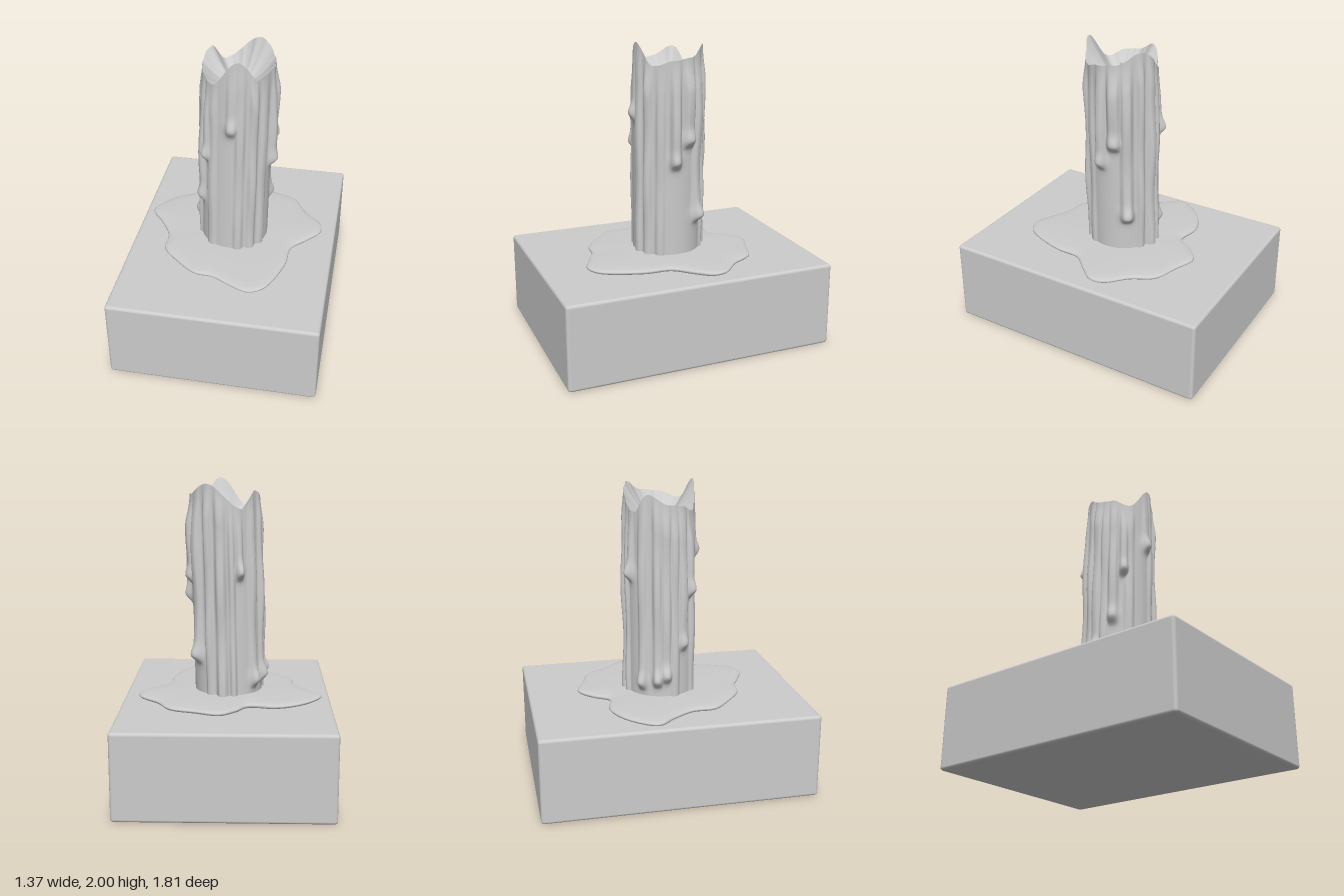
import * as THREE from 'three';
import { RoundedBoxGeometry } from 'three/addons/geometries/RoundedBoxGeometry.js';

const N = 240; // segments around the candle
const material = new THREE.MeshStandardMaterial({ color: 0xcccccc, roughness: 0.7 });
const RAD = Math.PI / 180;
const smooth = THREE.MathUtils.smoothstep;

// Closed surface from stacked rings; point(j, i) returns [x, y, z]
function ringSurface(rows, cols, point) {
  const positions = [], index = [];
  for (let j = 0; j < rows; j++) {
    for (let i = 0; i < cols; i++) {
      positions.push(...point(j, i));
      if (j === rows - 1) continue;
      const a = j * cols + i, b = j * cols + (i + 1) % cols;
      index.push(a, b, b + cols, a, b + cols, a + cols);
    }
  }
  const geometry = new THREE.BufferGeometry();
  geometry.setAttribute('position', new THREE.Float32BufferAttribute(positions, 3));
  geometry.setIndex(index);
  geometry.computeVertexNormals();
  return geometry;
}

function addMesh(group, name, geometry) {
  const mesh = new THREE.Mesh(geometry, material);
  mesh.name = name;
  group.add(mesh);
  return mesh;
}

// Peaks and dips of the melted rim: [degrees from front towards +x, height]
const RIM = [[8, 2.0], [46, 1.86], [80, 1.895], [108, 1.91], [150, 1.98], [212, 1.82],
  [239, 1.935], [275, 1.87], [295, 1.86], [322, 1.82], [368, 2.0]];

function rimHeight(deg) {
  const d = deg < 8 ? deg + 360 : deg;
  const k = RIM.findIndex(([a], n) => n > 0 && d <= a);
  const [a0, h0] = RIM[k - 1], [a1, h1] = RIM[k];
  const t = (d - a0) / (a1 - a0);
  return h0 + (h1 - h0) * (1 - Math.cos(Math.PI * t)) / 2;
}

// Wax runs: [degrees, lower end, angular half width, thickness, blob size]
const DRIPS = [
  [0, 1.48, 8, 0.014, 0.026], [315, 1.25, 7, 0.028, 0.026], [298, 0.9, 8, 0.03, 0.022],
  [268, 0.69, 8, 0.025, 0.03], [83, 1.18, 8, 0.034, 0.022], [106, 1.32, 10, 0.036, 0.024],
  [126, 0.8, 9, 0.032, 0.026], [203, 1.36, 6, 0.025, 0.026], [228, 0.64, 7, 0.024, 0.024],
  [254, 0.66, 7, 0.028, 0.022],
  // runs that reach the foot
  [14, 0, 7, 0.016, 0], [36, 0, 7, 0.026, 0], [58, 0, 7, 0.014, 0], [150, 0, 6, 0.022, 0],
  [172, 0, 8, 0.03, 0], [190, 0, 5, 0.02, 0], [283, 0, 7, 0.02, 0], [325, 0, 8, 0.018, 0],
];

function candleRadius(deg, y, top) {
  let bump = 0;
  const fade = 0.25 + 0.75 * smooth(top - y, 0, 0.22);
  for (const [a, end, width, thick, blob] of DRIPS) {
    const d = ((deg - a + 540) % 360) - 180;
    if (Math.abs(d) > 30) continue;
    const wave = 1 + 0.25 * Math.sin(y * 9 + a);
    const run = thick * wave * smooth(y, end - 0.01, end + 0.06) * Math.exp(-((d / width) ** 4));
    const bulge = blob * Math.exp(-(((y - end - 0.06) / 0.055) ** 2) - (d / (width * 1.35)) ** 2);
    bump = Math.max(bump, run + bulge);
  }
  return 0.225 + bump * fade;
}

// Candle axis leans slightly
const axisX = (y) => -0.008 + 0.028 * (y - 0.58) / 1.4;

function candleWall() {
  const rows = 140;
  return ringSurface(rows, N, (j, i) => {
    const deg = i * 360 / N, top = rimHeight(deg);
    const y = 0.58 + (top - 0.58) * j / (rows - 1);
    const r = candleRadius(deg, y, top);
    return [axisX(y) + r * Math.sin(deg * RAD), y, -0.008 + r * Math.cos(deg * RAD)];
  });
}

// Melted hollow from the rim down to the wick
function candleHollow() {
  const rows = 20, floor = 1.73;
  return ringSurface(rows, N, (j, i) => {
    const deg = i * 360 / N, top = rimHeight(deg), s = 1 - j / (rows - 1);
    const y = floor + (top - floor) * s ** 1.8;
    const r = candleRadius(deg, top, top) * s;
    return [axisX(top) + r * Math.sin(deg * RAD), y, -0.008 + r * Math.cos(deg * RAD)];
  });
}

// Outline of the spilled wax, [x, z]
const SPILL = [[0.04, -0.57], [-0.07, -0.485], [-0.145, -0.39], [-0.32, -0.41], [-0.455, -0.36],
  [-0.575, -0.255], [-0.63, -0.145], [-0.54, -0.025], [-0.455, 0.12], [-0.445, 0.265],
  [-0.335, 0.385], [-0.19, 0.49], [-0.07, 0.505], [0.05, 0.565], [0.18, 0.615], [0.265, 0.58],
  [0.315, 0.51], [0.39, 0.29], [0.405, 0.12], [0.51, 0], [0.585, -0.1], [0.575, -0.19],
  [0.45, -0.32], [0.36, -0.46], [0.2, -0.52]];

function waxPuddle() {
  const curve = new THREE.CatmullRomCurve3(SPILL.map(([x, z]) => new THREE.Vector3(x, 0, z)), true);
  const outline = curve.getSpacedPoints(200).slice(0, 200);
  const profile = [[0.96, 0.56], [0.985, 0.567], [1, 0.575], [0.998, 0.582], [0.985, 0.589],
    [0.95, 0.594], [0.85, 0.598], [0.6, 0.602], [0.3, 0.604], [0, 0.604]];
  return ringSurface(profile.length, 200, (j, i) => {
    const [s, y] = profile[j];
    return [outline[i].x * s, y, outline[i].z * s];
  });
}

export function createModel() {
  const group = new THREE.Group();
  group.name = 'candleOnBlock';

  // Block underneath
  const block = addMesh(group, 'block', new RoundedBoxGeometry(1.37, 0.565, 1.81, 4, 0.02));
  block.position.y = 0.2825;

  addMesh(group, 'waxPuddle', waxPuddle());

  // Candle
  const candle = new THREE.Group();
  candle.name = 'candle';
  addMesh(candle, 'candleWall', candleWall());
  addMesh(candle, 'candleHollow', candleHollow());

  // Bent wick with a rounded tip
  const path = new THREE.CatmullRomCurve3([[0.01, 1.7, -0.008], [0.012, 1.78, -0.008],
    [0.022, 1.83, -0.012], [0.045, 1.855, -0.02]].map((p) => new THREE.Vector3(...p)));
  addMesh(candle, 'wick', new THREE.TubeGeometry(path, 16, 0.009, 10));
  const tip = addMesh(candle, 'wickTip', new THREE.SphereGeometry(0.009, 10, 8));
  tip.position.copy(path.getPoint(1));
  group.add(candle);
  return group;
}
